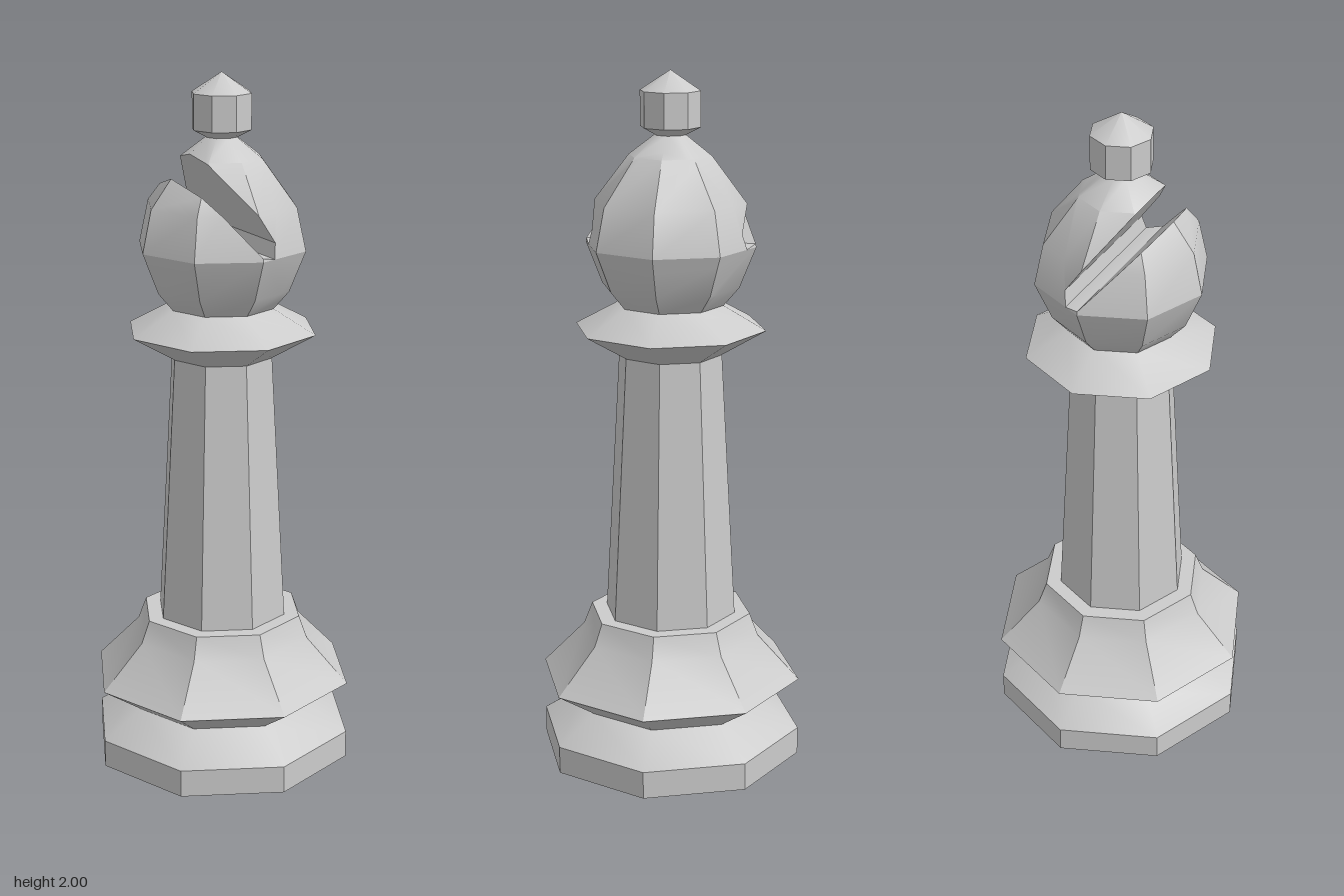
import * as THREE from 'three';
import { toCreasedNormals } from 'three/addons/utils/BufferGeometryUtils.js';

const SIDES = 8;
const CREASE = Math.PI / 6;
const material = new THREE.MeshStandardMaterial({ color: 0xcccccc });

function makeMesh(name, geometry) {
  const flat = geometry.index ? geometry.toNonIndexed() : geometry;
  const mesh = new THREE.Mesh(toCreasedNormals(flat, CREASE), material);
  mesh.name = name;
  return mesh;
}

// Eight-sided turned part; profile runs from bottom to top as [radius, height]
function turned(name, profile) {
  const points = profile.map(([r, y]) => new THREE.Vector2(r, y));
  return makeMesh(name, new THREE.LatheGeometry(points, SIDES));
}

// Keep the part of a convex polygon that lies in front of a plane
function clip(polygon, plane) {
  const result = [];
  polygon.forEach((a, i) => {
    const b = polygon[(i + 1) % polygon.length];
    const da = plane.distanceToPoint(a), db = plane.distanceToPoint(b);
    if (da >= 0) result.push(a);
    if ((da > 0 && db < 0) || (da < 0 && db > 0)) result.push(a.clone().lerp(b, da / (da - db)));
  });
  return result;
}

const planeOf = (p) => new THREE.Plane().setFromCoplanarPoints(p[0], p[1], p[2]);
const flipped = (plane) => plane.clone().negate();

function polygonGeometry(polygons) {
  const points = [];
  for (const p of polygons) {
    for (let i = 1; i < p.length - 1; i++) points.push(p[0], p[i], p[i + 1]);
  }
  return new THREE.BufferGeometry().setFromPoints(points);
}

// Faceted bulb with a slanted slot cut right through it along z
function slottedHead() {
  const profile = [[0.153, 1.348], [0.197, 1.4], [0.244, 1.517], [0.217, 1.638], [0.118, 1.767], [0.042, 1.825]];
  const ringPoint = ([r, y], i) => {
    const a = (i / SIDES) * Math.PI * 2;
    return new THREE.Vector3(r * Math.sin(a), y, r * Math.cos(a));
  };
  const faces = [];
  for (let i = 0; i < SIDES; i++) {
    for (let j = 0; j < profile.length - 1; j++) {
      const low = profile[j], high = profile[j + 1];
      faces.push([ringPoint(low, i), ringPoint(low, i + 1), ringPoint(high, i + 1), ringPoint(high, i)]);
    }
  }

  // Slot outline in x, y: down one side, across the floor, up the other
  const outline = [[-0.296, 1.891], [0, 1.527], [0.045, 1.517], [0.053, 1.56], [-0.243, 1.994]];
  const walls = [];
  for (let i = 0; i < outline.length - 1; i++) {
    const [a, b] = [outline[i], outline[i + 1]];
    walls.push([
      new THREE.Vector3(...a, 0.5), new THREE.Vector3(...b, 0.5),
      new THREE.Vector3(...b, -0.5), new THREE.Vector3(...a, -0.5),
    ]);
  }
  const wallPlanes = walls.map(planeOf);
  const facePlanes = faces.map(planeOf);

  // Outer skin: everything that is not inside the slot
  const pieces = [];
  for (const face of faces) {
    let rest = face;
    for (const plane of wallPlanes) {
      pieces.push(clip(rest, flipped(plane)));
      rest = clip(rest, plane);
    }
  }
  // Slot walls, trimmed to the bulb
  for (const wall of walls) {
    pieces.push(facePlanes.reduce((p, plane) => clip(p, flipped(plane)), wall));
  }
  return makeMesh('slottedHead', polygonGeometry(pieces.filter((p) => p.length > 2)));
}

export function createModel() {
  const model = new THREE.Group();
  model.name = 'chessPiece';
  model.add(
    turned('foot', [[0, 0], [0.385, 0], [0.385, 0.08], [0.268, 0.157]]),
    turned('flaredBase', [[0.268, 0.157], [0.385, 0.235], [0.262, 0.364], [0.237, 0.43], [0, 0.43]]),
    turned('shaft', [[0.192, 0.43], [0.149, 1.205]]),
    turned('collar', [[0, 1.203], [0.145, 1.203], [0.275, 1.28], [0.15, 1.349], [0, 1.349]]),
    slottedHead(),
    turned('finial', [[0.042, 1.822], [0.086, 1.845], [0.086, 1.944], [0, 2]]),
  );
  return model;
}
